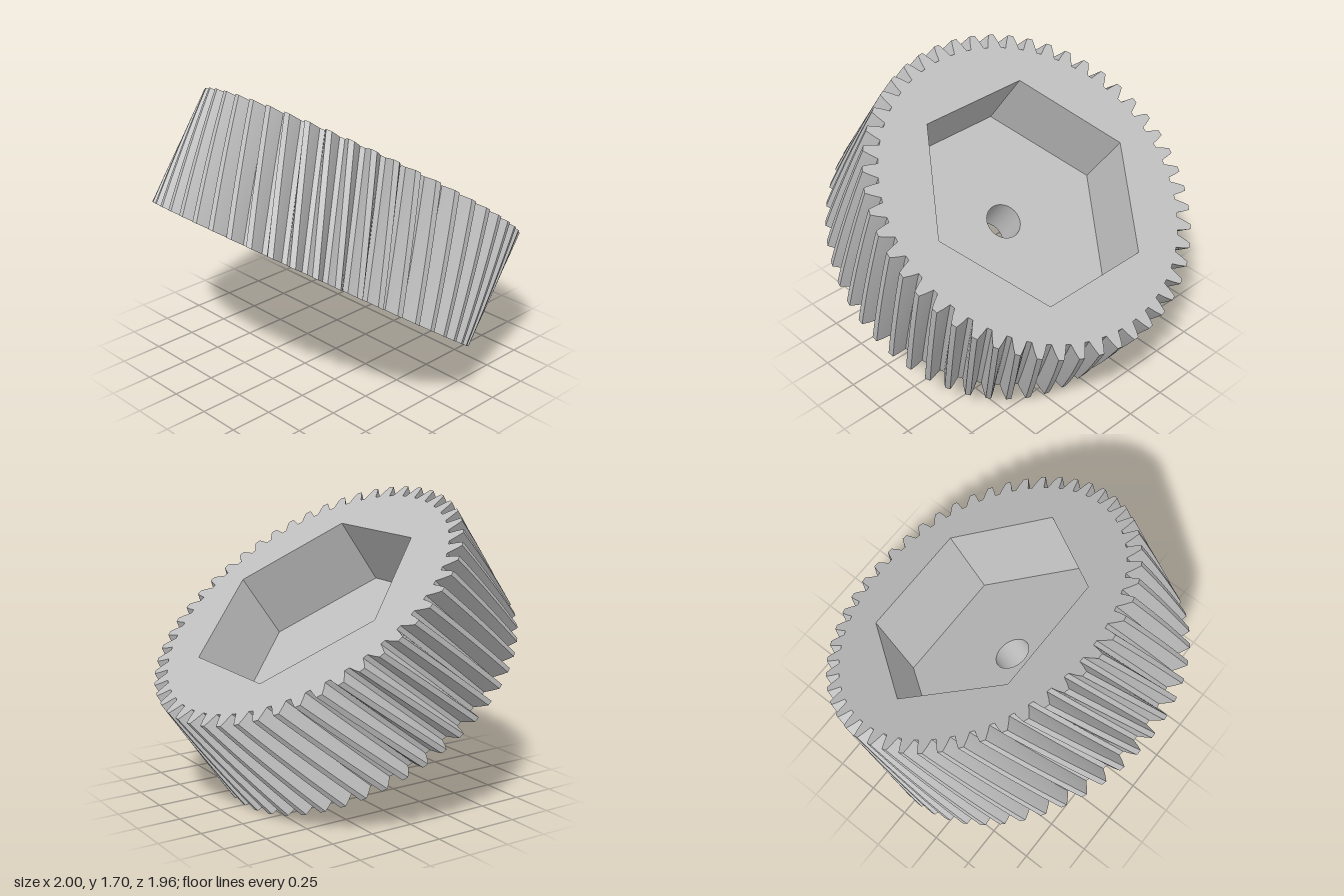
import * as THREE from 'three';
import { toCreasedNormals } from 'three/addons/utils/BufferGeometryUtils.js';

const TEETH = 50, R_TIP = 0.98, R_ROOT = 0.895, HEIGHT = 0.696;
const TWIST = 2 * (Math.PI * 2 / TEETH);      // helix advances two teeth over the height
const POCKET_R = 0.685, POCKET_DEPTH = 0.434, BORE_R = 0.105;
const TILT = Math.atan(Math.SQRT1_2);

const polar = (r, a) => new THREE.Vector2(r * Math.cos(a), r * Math.sin(a));

// Counter-clockwise gear outline, turned by an angle
function gearOutline(turn) {
  const tooth = [[R_ROOT, -0.042], [0.94, -0.030], [R_TIP, -0.016], [R_TIP, 0.016], [0.94, 0.030], [R_ROOT, 0.042]];
  const points = [];
  for (let i = 0; i < TEETH; i++) {
    const a = turn + (i / TEETH) * Math.PI * 2;
    for (const [r, half] of tooth) points.push(polar(r, a + half / r));
  }
  return points;
}

function ring(r, sides, turn = 0) {
  return Array.from({ length: sides }, (_, i) => polar(r, turn + (i / sides) * Math.PI * 2));
}

// Flat face with one hole, at height y
function plate(outline, hole, y, down = false) {
  const shape = new THREE.Shape(outline);
  shape.holes.push(new THREE.Path(hole));
  const geo = new THREE.ShapeGeometry(shape);
  geo.rotateX(-Math.PI / 2).translate(0, y, 0);
  if (down) {
    geo.setIndex(Array.from(geo.index.array).reverse());
    geo.computeVertexNormals();
  }
  return geo;
}

// Side wall through a stack of matching outlines, each { points, y }
function wall(layers, inward = false) {
  const pos = [];
  const put = (p, y) => pos.push(p.x, y, -p.y);
  for (let k = 0; k + 1 < layers.length; k++) {
    const lo = layers[k], hi = layers[k + 1], n = lo.points.length;
    for (let i = 0; i < n; i++) {
      const j = (i + 1) % n;
      const quad = [[lo.points[i], lo.y], [lo.points[j], lo.y], [hi.points[j], hi.y], [hi.points[i], hi.y]];
      const order = inward ? [0, 2, 1, 0, 3, 2] : [0, 1, 2, 0, 2, 3];
      for (const c of order) put(...quad[c]);
    }
  }
  const geo = new THREE.BufferGeometry();
  geo.setAttribute('position', new THREE.Float32BufferAttribute(pos, 3));
  geo.computeVertexNormals();
  return geo;
}

export function createModel() {
  const model = new THREE.Group();
  model.name = 'helicalGear';
  const gear = new THREE.Group();
  gear.name = 'tiltedGear';
  const steel = new THREE.MeshStandardMaterial({ color: 0xbfbfbf });
  steel.name = 'grey steel';
  const add = (name, geo) => {
    const mesh = new THREE.Mesh(geo, steel);
    mesh.name = name;
    gear.add(mesh);
  };

  const top = HEIGHT / 2, bottom = -HEIGHT / 2, floor = top - POCKET_DEPTH;
  const hex = ring(POCKET_R, 6, Math.PI / 2);
  const bore = ring(BORE_R, 48);

  // Twisted teeth
  const steps = 10, layers = [];
  for (let k = 0; k <= steps; k++) {
    const t = k / steps;
    layers.push({ points: gearOutline(TWIST * (1 - t)), y: bottom + HEIGHT * t });
  }
  add('helicalTeeth', toCreasedNormals(wall(layers), 0.3));

  // End faces
  add('topFace', plate(gearOutline(0), hex, top));
  add('bottomFace', plate(gearOutline(TWIST), bore, bottom, true));

  // Hexagonal pocket and centre bore
  add('pocketWalls', wall([{ points: hex, y: floor }, { points: hex, y: top }], true));
  add('pocketFloor', plate(hex, bore, floor));
  add('boreWall', new THREE.LatheGeometry(
    [new THREE.Vector2(BORE_R, floor), new THREE.Vector2(BORE_R, bottom)], 48));

  // Lean the gear so that it stands on its lower rim
  gear.rotation.z = -TILT;
  gear.position.y = R_TIP * Math.sin(TILT) + top * Math.cos(TILT);
  model.add(gear);
  return model;
}
